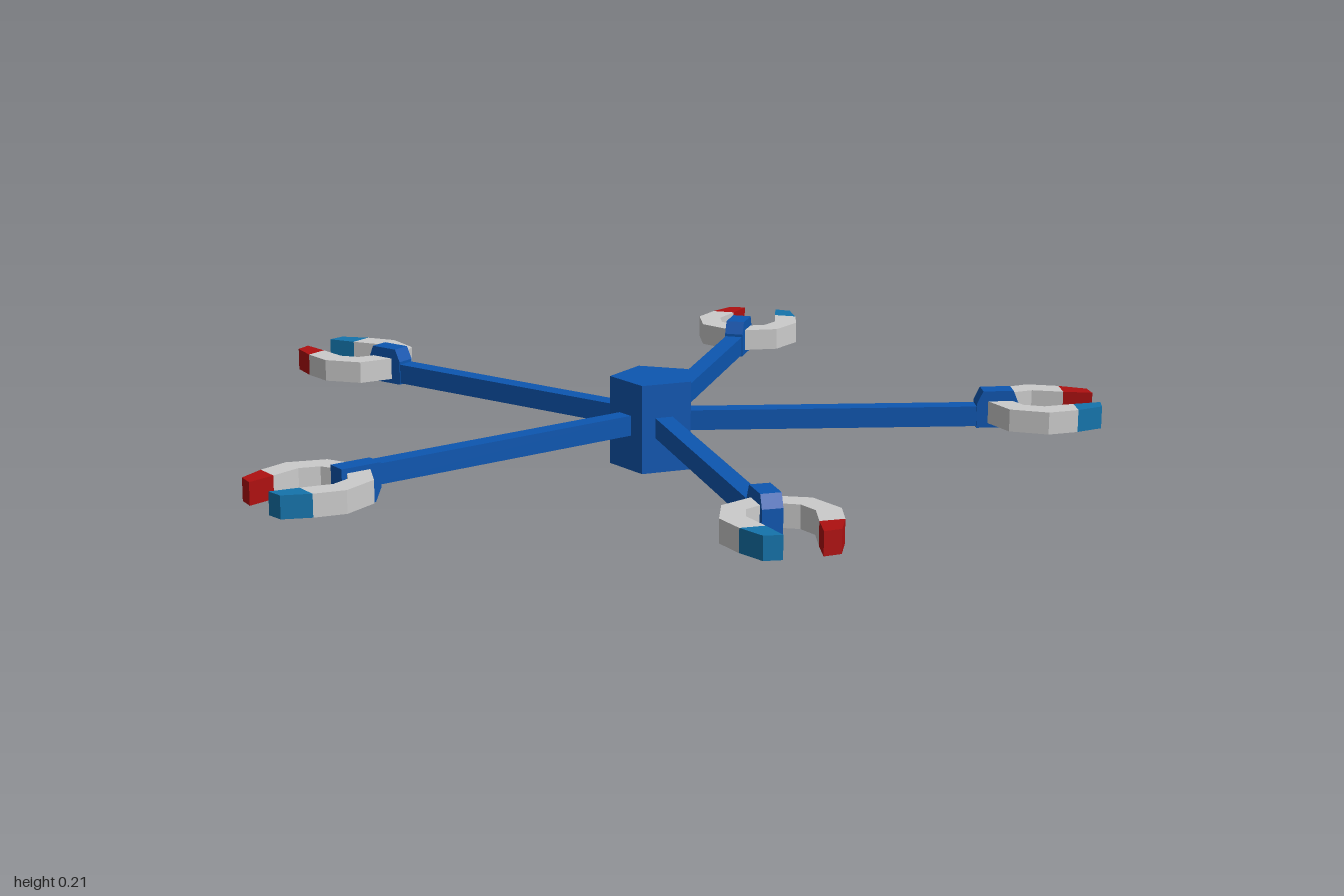
import * as THREE from 'three';

const mat = (color) => new THREE.MeshStandardMaterial({ color, flatShading: true });
const blue = mat(0x0d56b0), grey = mat(0xcccccc), red = mat(0xae1010), cyan = mat(0x1474ac);

function part(name, geometry, material) {
  const mesh = new THREE.Mesh(geometry, material);
  mesh.name = name;
  return mesh;
}

// Extrudes an outline by depth, centred on its own plane
function slab(points, depth) {
  const shape = new THREE.Shape(points.map(([x, y]) => new THREE.Vector2(x, y)));
  return new THREE.ExtrudeGeometry(shape, { depth, bevelEnabled: false }).translate(0, 0, -depth / 2);
}

// Half outlines of the claw: distance along the arm, distance sideways
const outer = [[-0.132, 0], [-0.085, 0.098], [0, 0.13], [0.071, 0.111], [0.132, 0.082]];
const inner = [[-0.075, 0], [-0.045, 0.058], [0, 0.074], [0.071, 0.056], [0.137, 0.042]];
const mirror = (points) => points.map(([x, y]) => [x, -y]);

function createClaw() {
  const claw = new THREE.Group();
  claw.name = 'claw';
  const flat = (points) => slab(points, 0.052).rotateX(Math.PI / 2);
  const o = outer.slice(0, 4), i = inner.slice(0, 4);
  const ring = [
    ...mirror(o).reverse(), ...o.slice(1),
    ...[...i].reverse(), ...mirror(i).slice(1),
  ];
  claw.add(part('clawRing', flat(ring), grey));
  // coloured fingertips
  const tip = [outer[3], outer[4], inner[4], inner[3]];
  claw.add(part('blueTip', flat(tip), cyan));
  claw.add(part('redTip', flat(mirror(tip)), red));
  claw.position.set(0.895, 0.01, 0);
  return claw;
}

function createArm(degrees, flipped) {
  const arm = new THREE.Group();
  arm.name = 'arm';
  arm.add(part('armBar', new THREE.BoxGeometry(0.8, 0.047, 0.042).translate(0.43, 0, 0), blue));
  // wrist block with its raised side chamfered
  const wrist = [
    [0.748, -0.027], [0.845, -0.027], [0.845, 0.03],
    [0.833, 0.06], [0.762, 0.06], [0.748, 0.03],
  ];
  arm.add(part('wristBlock', slab(wrist, 0.046), blue));
  arm.add(createClaw());
  arm.rotation.set(flipped ? Math.PI : 0, -THREE.MathUtils.degToRad(degrees), 0, 'YXZ');
  arm.position.set(0.067, 0.106, 0.008);
  return arm;
}

export function createModel() {
  const model = new THREE.Group();
  model.name = 'fiveArmedGripper';

  // pentagonal hub with one corner towards +x
  const hub = part('hub', new THREE.CylinderGeometry(0.101, 0.101, 0.208, 5).rotateY(Math.PI / 2), blue);
  hub.position.set(0.067, 0.104, 0.008);
  model.add(hub);

  // five arms, one of them rolled upside down
  for (const degrees of [35.1, 112.2, 182, 253.8, 324.6]) model.add(createArm(degrees, degrees === 182));
  return model;
}
